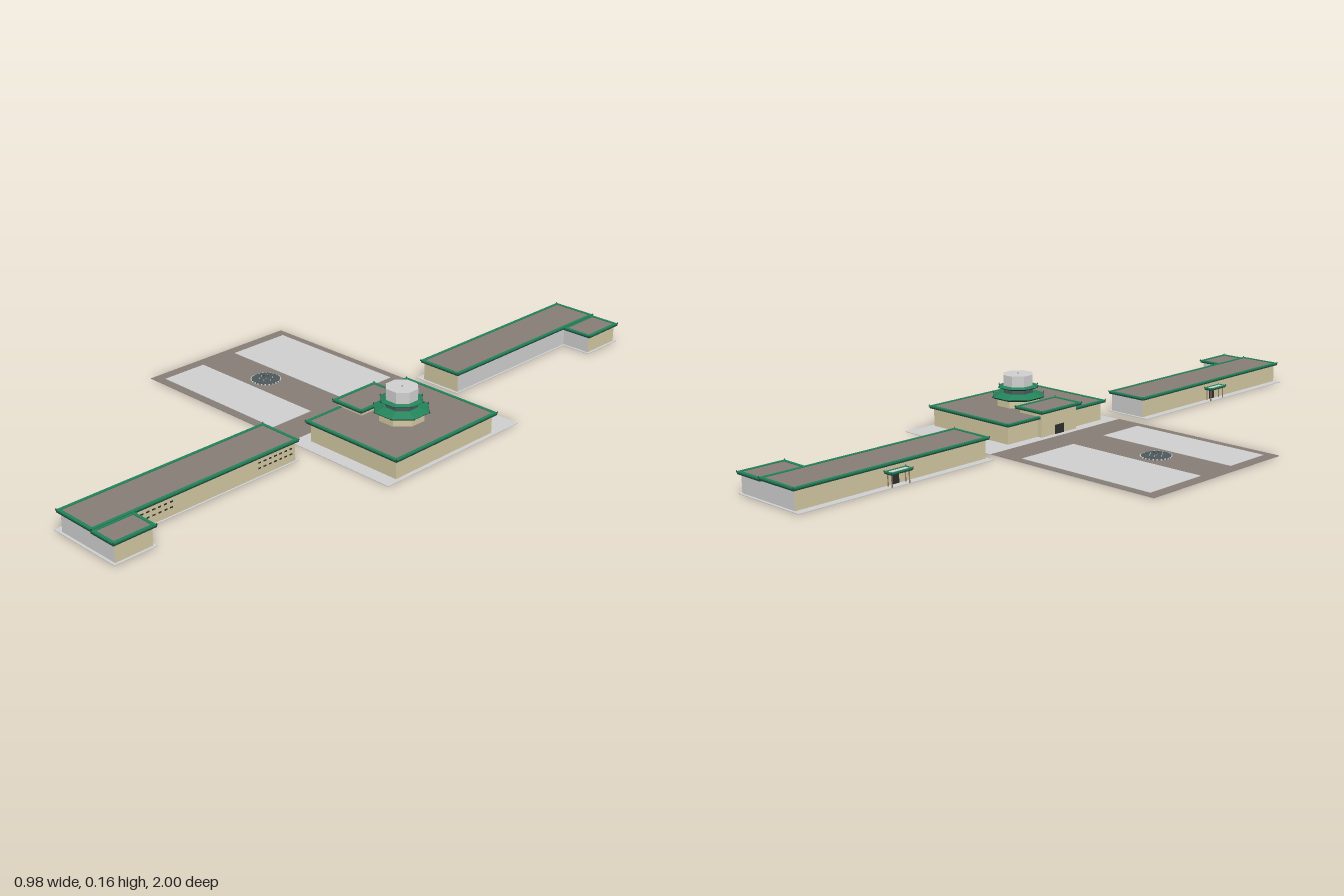
import * as THREE from 'three';

const mat = (name, color, side = THREE.FrontSide) => {
  const m = new THREE.MeshStandardMaterial({ color, side });
  m.name = name;
  return m;
};

export function createModel() {
  const M = {
    stone: mat('light stone', 0xcfcfcf),
    roof: mat('roof brown', 0x857d75),
    cream: mat('cream wall', 0xd2c8a0),
    green: mat('roof green', 0x22835a),
    dark: mat('dark green', 0x1c4a3c),
    slate: mat('fountain slate', 0x4d585c),
    window: mat('window dark', 0x2e2e2c),
    post: mat('post brown', 0x8f7d66),
  };
  const root = new THREE.Group();
  root.name = 'palaceComplex';

  const group = (name, parent = root) => {
    const g = new THREE.Group();
    g.name = name;
    parent.add(g);
    return g;
  };
  const add = (parent, name, geometry, material, x = 0, y = 0, z = 0) => {
    const m = new THREE.Mesh(geometry, material);
    m.name = name;
    m.position.set(x, y, z);
    parent.add(m);
    return m;
  };
  // Box given by its limits on each axis
  const box = (parent, name, material, x0, x1, y0, y1, z0, z1) =>
    add(parent, name, new THREE.BoxGeometry(x1 - x0, y1 - y0, z1 - z0), material,
      (x0 + x1) / 2, (y0 + y1) / 2, (z0 + z1) / 2);

  // Flat roof: dark fascia, brown deck, green rim and upturned corner tips
  const flatRoof = (parent, x0, x1, z0, z1, top, deck = M.roof, w = 0.009, h = 0.008) => {
    const g = group('flatRoof', parent);
    const y = top - h / 2;
    box(g, 'fascia', M.dark, x0, x1, top - h, y, z0, z1);
    box(g, 'deck', deck, x0 + w, x1 - w, y, y + 0.002, z0 + w, z1 - w);
    for (const [a, b] of [[x0, x0 + w], [x1 - w, x1]]) box(g, 'sideRim', M.green, a, b, y, top, z0, z1);
    for (const [a, b] of [[z0, z0 + w], [z1 - w, z1]]) box(g, 'endRim', M.green, x0 + w, x1 - w, y, top, a, b);
    for (const x of [x0, x1]) for (const z of [z0, z1])
      add(g, 'cornerTip', new THREE.ConeGeometry(0.003, 0.006, 4), M.dark, x, top + 0.001, z);
  };

  // Plaza with two pale lawns and a pale terrace
  const plaza = group('plaza');
  box(plaza, 'terrace', M.stone, -0.49, 0.485, 0, 0.002, -0.3, 0.24);
  box(plaza, 'paving', M.roof, -0.49, 0.115, 0.002, 0.003, -0.3, 0.24);
  box(plaza, 'backLawn', M.stone, -0.455, 0.017, 0.003, 0.004, -0.275, -0.067);
  box(plaza, 'frontLawn', M.stone, -0.455, 0.017, 0.003, 0.004, 0.063, 0.213);

  // Round fountain with a pedestal and a ring of pale stones
  const fountain = group('fountain');
  fountain.position.set(-0.24, 0, 0);
  add(fountain, 'basin', new THREE.CylinderGeometry(0.043, 0.044, 0.005, 32), M.slate, 0, 0.0035, 0);
  add(fountain, 'pedestal', new THREE.LatheGeometry([
    [0.006, 0.006], [0.002, 0.009], [0.002, 0.012], [0.009, 0.014], [0.002, 0.015], [0.002, 0.018], [0, 0.022],
  ].map(([x, y]) => new THREE.Vector2(x, y)), 12), M.slate);
  for (let i = 0; i < 24; i++) {
    const a = i * Math.PI / 12;
    add(fountain, 'rimStone', new THREE.BoxGeometry(0.004, 0.004, 0.004), M.stone,
      0.044 * Math.cos(a), 0.004, 0.044 * Math.sin(a)).rotation.y = -a;
  }
  for (let i = 0; i < 6; i++) {
    const a = i * Math.PI / 3;
    add(fountain, 'nozzle', new THREE.ConeGeometry(0.0015, 0.006, 6), M.stone,
      0.02 * Math.cos(a), 0.009, 0.02 * Math.sin(a));
  }

  // Main hall and entrance pavilion
  const hall = group('mainHall');
  box(hall, 'hallWalls', M.cream, 0.153, 0.472, 0.002, 0.058, -0.197, 0.197);
  flatRoof(hall, 0.142, 0.482, -0.207, 0.207, 0.065);
  const pavilion = group('entrancePavilion', hall);
  box(pavilion, 'pavilionWalls', M.cream, 0.137, 0.227, 0.002, 0.076, -0.075, 0.072);
  box(pavilion, 'door', M.window, 0.1355, 0.137, 0.002, 0.03, -0.02, 0.017);
  flatRoof(pavilion, 0.125, 0.236, -0.086, 0.083, 0.083);

  // Octagonal tower with two sloping eaves
  const tower = group('tower', hall);
  tower.position.set(0.31, 0, 0);
  const k = 1 / Math.cos(Math.PI / 8);
  const octagon = (name, material, rTop, rBottom, y0, y1) => {
    const geo = new THREE.CylinderGeometry(rTop * k, rBottom * k, y1 - y0, 8).toNonIndexed();
    geo.rotateY(Math.PI / 8);
    geo.computeVertexNormals();
    add(tower, name, geo, material, 0, (y0 + y1) / 2, 0);
  };
  octagon('lowerDrum', M.cream, 0.063, 0.063, 0.06, 0.086);
  octagon('lowerEave', M.dark, 0.076, 0.07, 0.085, 0.09);
  octagon('lowerRoof', M.green, 0.048, 0.075, 0.09, 0.101);
  octagon('middleDrum', M.slate, 0.044, 0.044, 0.1, 0.117);
  octagon('upperEave', M.dark, 0.058, 0.054, 0.115, 0.118);
  octagon('upperRoof', M.green, 0.045, 0.057, 0.118, 0.123);
  octagon('upperDrum', M.stone, 0.044, 0.044, 0.122, 0.156);
  add(tower, 'finial', new THREE.ConeGeometry(0.002, 0.005, 8), M.slate, 0, 0.158, 0);
  for (const [r, y] of [[0.076, 0.092], [0.058, 0.12]])
    for (let i = 0; i < 8; i++) {
      const a = (i + 0.5) * Math.PI / 4;
      add(tower, 'eaveTip', new THREE.ConeGeometry(0.003, 0.006, 4), M.dark,
        r * k * Math.cos(a), y, r * k * Math.sin(a));
    }

  // Long side wings, each with an annex and a porch; walls list is +x, -x, top, bottom, +z, -z
  const wing = (name, x0, x1, z0, z1, ax1, az0, az1, porchZ, walls, annexWalls) => {
    const g = group(name);
    box(g, 'slab', M.stone, x0 - 0.016, x1, 0, 0.002, z0, z1);
    box(g, 'annexSlab', M.stone, x1, ax1, 0, 0.002, az0, az1);
    box(g, 'wingWalls', walls, x0 + 0.008, x1 - 0.006, 0.002, 0.058, z0 + 0.008, z1 - 0.008);
    flatRoof(g, x0, x1, z0, z1, 0.065);
    box(g, 'annexWalls', annexWalls, x1 - 0.006, ax1 - 0.008, 0.002, 0.054, az0 + 0.008, az1 - 0.008);
    flatRoof(g, x1 - 0.004, ax1, az0, az1, 0.0615);
    const porch = group('porch', g);
    flatRoof(porch, x0 - 0.021, x0 + 0.008, porchZ - 0.037, porchZ + 0.037, 0.044, M.stone, 0.005, 0.007);
    for (const dz of [-0.03, 0.03]) for (const dx of [-0.014, 0.002])
      add(porch, 'post', new THREE.CylinderGeometry(0.0018, 0.0018, 0.036, 8), M.post, x0 + dx, 0.019, porchZ + dz);
    box(porch, 'porchDoor', M.window, x0 + 0.0065, x0 + 0.008, 0.002, 0.03, porchZ - 0.012, porchZ + 0.012);
    return g;
  };
  const { cream: c, stone: s } = M;
  const front = wing('frontWing', 0.07, 0.212, 0.3, 0.992, 0.297, 0.86, 0.992, 0.647,
    [c, c, c, s, s, s], [c, c, c, s, s, s]);
  wing('backWing', 0.087, 0.232, -1, -0.332, 0.328, -1, -0.85, -0.667,
    [s, c, c, s, c, s], [c, c, c, s, s, s]);

  // Two rows of small windows near both ends of the front wing
  for (const start of [0.32, 0.735])
    for (let i = 0; i < 7; i++)
      for (const y of [0.024, 0.04])
        box(front, 'window', M.window, 0.206, 0.207, y, y + 0.004, start + i * 0.019, start + i * 0.019 + 0.009);

  return root;
}
